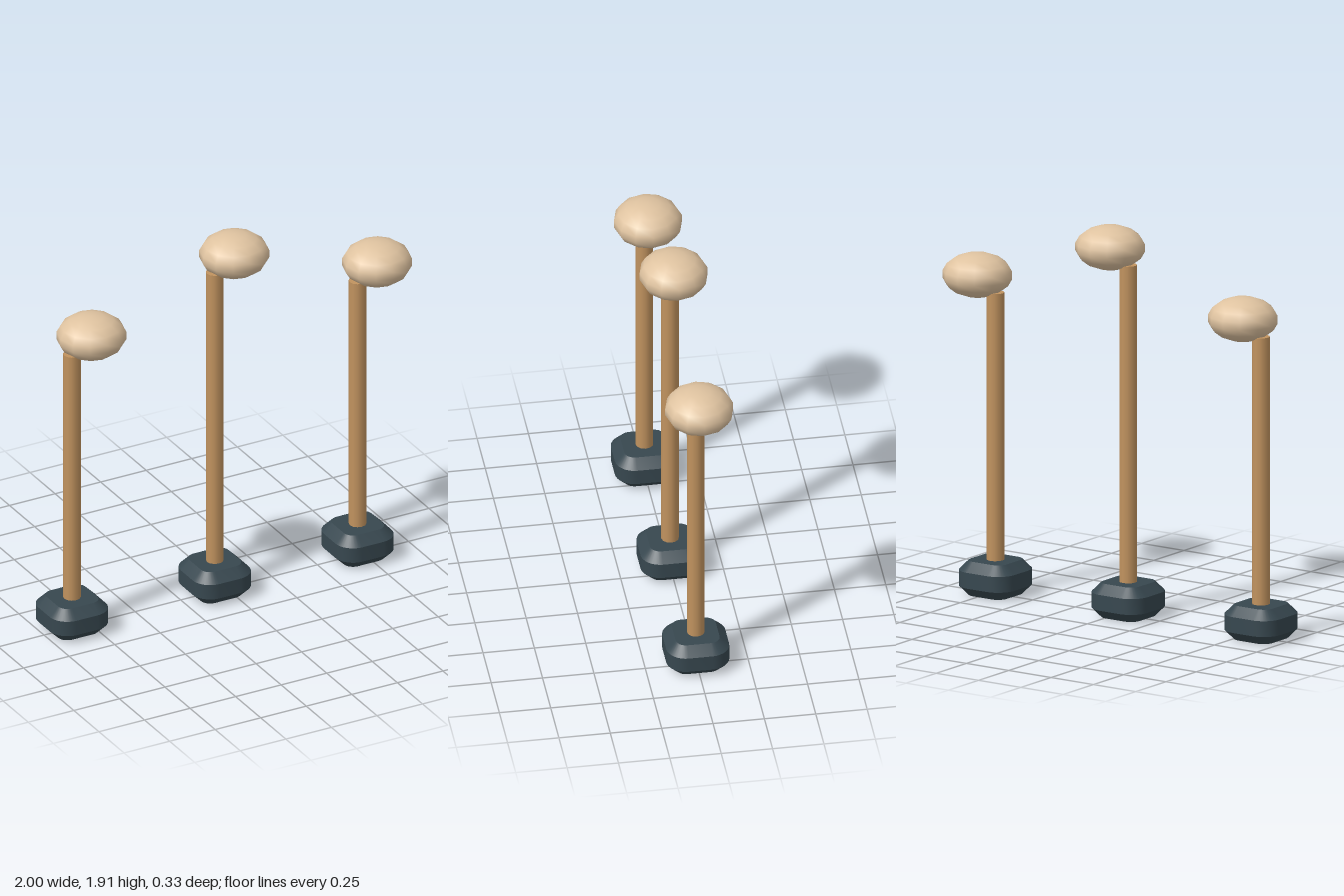
import * as THREE from 'three';
import { toCreasedNormals } from 'three/addons/utils/BufferGeometryUtils.js';

const paint = (name, color) => {
  const m = new THREE.MeshStandardMaterial({ color });
  m.name = name;
  return m;
};

// Rounded square block with chamfered top and bottom rims
function baseGeometry(half, height, bevel, radius) {
  const h = half - bevel, c = h - radius;
  const shape = new THREE.Shape();
  shape.moveTo(h, -c);
  [[c, c, 0], [-c, c, 1], [-c, -c, 2], [c, -c, 3]].forEach(([x, y, q]) =>
    shape.absarc(x, y, radius, q * Math.PI / 2, (q + 1) * Math.PI / 2, false));
  const geo = new THREE.ExtrudeGeometry(shape, {
    depth: height - 2 * bevel, bevelThickness: bevel, bevelSize: bevel,
    bevelSegments: 1, curveSegments: 4,
  });
  geo.translate(0, 0, bevel).rotateX(-Math.PI / 2);
  return toCreasedNormals(geo, 0.6);
}

export function createModel() {
  const slate = paint('dark slate', 0x37474f);
  const wood = paint('wood', 0xc1935f);
  const cream = paint('pale tan', 0xdfc3a0);

  const baseGeo = baseGeometry(0.153, 0.17, 0.046, 0.05);
  const headGeo = new THREE.SphereGeometry(1, 12, 9).scale(0.172, 0.108, 0.168);

  const model = new THREE.Group();
  model.name = 'threePegs';

  // Each peg: base, pole and a head shifted sideways
  [['rightPeg', -0.847, 1.49], ['middlePeg', -0.063, 1.735], ['leftPeg', 0.721, 1.49]]
    .forEach(([name, x, top]) => {
      const peg = new THREE.Group();
      peg.name = name;
      peg.position.x = x;

      const base = new THREE.Mesh(baseGeo, slate);
      base.name = 'base';

      const poleGeo = new THREE.CylinderGeometry(0.043, 0.043, top - 0.1, 12);
      const pole = new THREE.Mesh(poleGeo, wood);
      pole.name = 'pole';
      pole.position.y = (top + 0.1) / 2;

      const head = new THREE.Mesh(headGeo, cream);
      head.name = 'head';
      head.position.set(0.107, top + 0.072, 0);

      peg.add(base, pole, head);
      model.add(peg);
    });
  return model;
}
